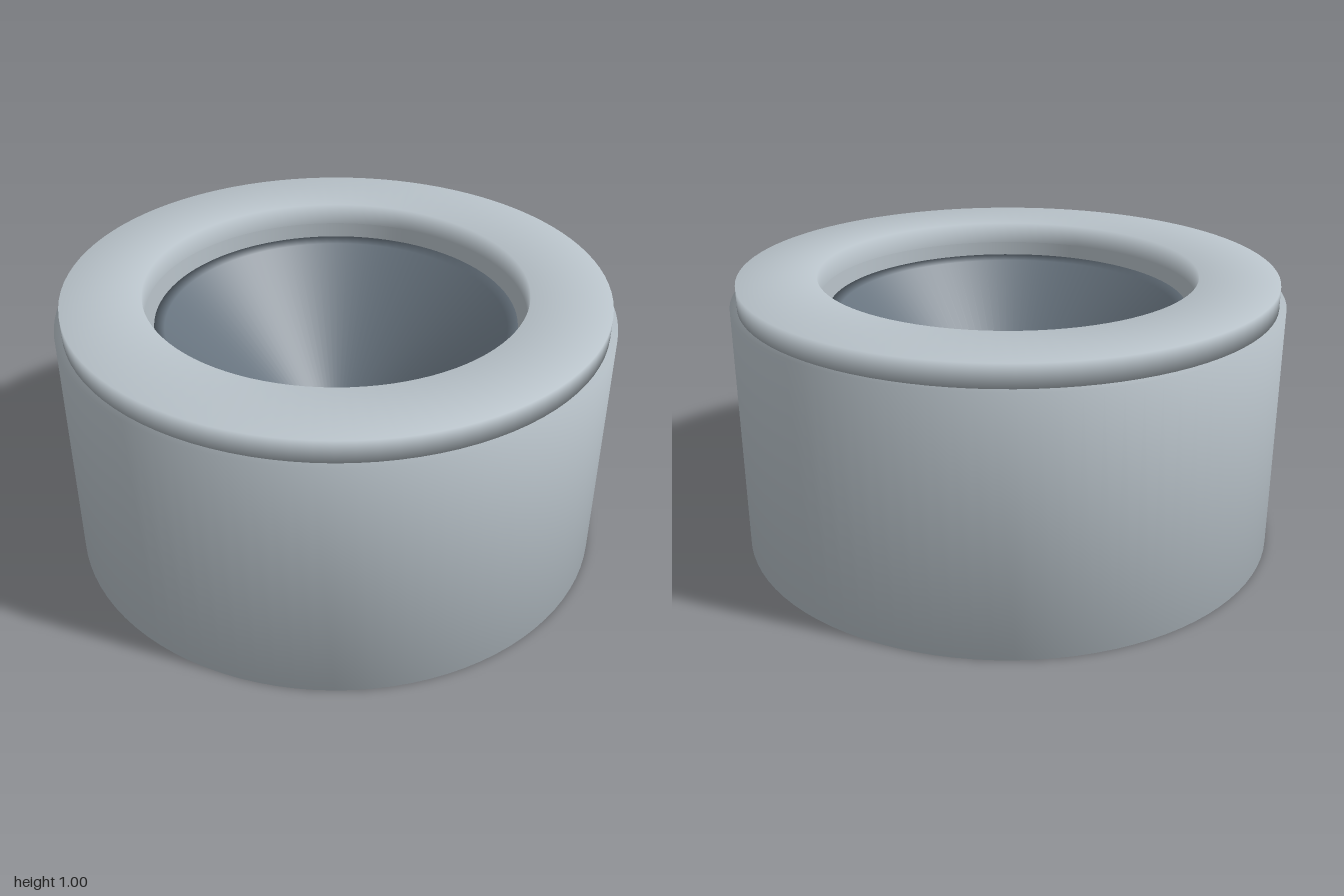
import * as THREE from 'three';

const SEGMENTS = 96;

// Revolve [radius, height] pairs around y; going upward along an outer wall faces outward.
function revolve(name, profile, material) {
  const points = profile.map(([r, y]) => new THREE.Vector2(r, y));
  const mesh = new THREE.Mesh(new THREE.LatheGeometry(points, SEGMENTS), material);
  mesh.name = name;
  return mesh;
}

export function createModel() {
  const group = new THREE.Group();
  group.name = 'recessedLamp';

  const casing = new THREE.MeshStandardMaterial({ color: 0xbac4cb });
  casing.name = 'pale grey casing';
  const slate = new THREE.MeshStandardMaterial({ color: 0x66727d });
  slate.name = 'slate reflector';

  // Outer shell with softly shaded bottom and shoulder
  group.add(revolve('housing', [[0.72, 0], [1, 0], [1, 0.92], [0.72, 0.92]], casing));

  // Bore of the housing, crisp at both ends
  group.add(revolve('housingBore', [[0.72, 0.92], [0.72, 0]], casing));

  // Trim ring on top, soft at every corner except the lower inner one
  group.add(revolve('trimRing', [
    [0.686, 0.92], [0.975, 0.92], [0.975, 1], [0.69, 1], [0.686, 0.92],
  ], casing));

  // Reflector: slightly tapered can, narrow soft rim and inner cone
  group.add(revolve('reflector', [
    [0.677, 0.167], [0.656, 0.875], [0.62, 0.86], [0.105, 0.35],
  ], slate));

  // Flat seat at the bottom of the cone
  group.add(revolve('coneSeat', [[0.105, 0.35], [0, 0.35]], slate));

  // Closed underside
  group.add(revolve('reflectorBase', [[0, 0.167], [0.677, 0.167]], slate));

  return group;
}
